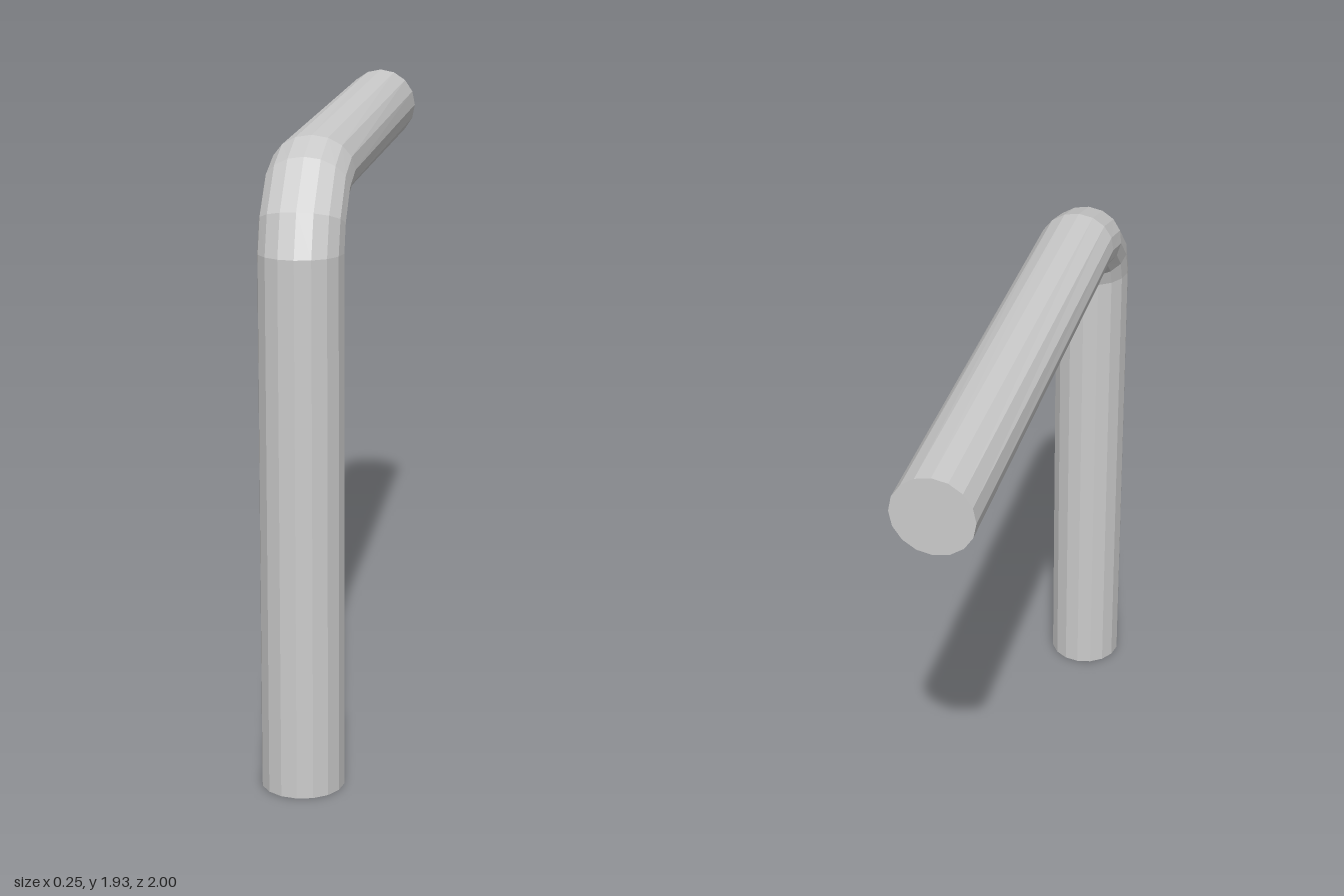
import * as THREE from 'three';

const SIDES = 16;
const HALF_WIDTH = 0.124;

// Rings along the pipe: outer z, outer y, inner z, inner y
const RINGS = [
  [1.0, 0, 0.752, 0], // foot
  [1.0, 1.605, 0.752, 1.605], // start of bend
  [0.953, 1.732, 0.738, 1.645],
  [0.81, 1.866, 0.702, 1.682],
  [0.665, 1.909, 0.61, 1.703], // end of bend
  [-1.0, 1.928, -1.0, 1.679], // open end of the arm
];

// Loft elliptical rings and close both ends with flat caps
function bentPipeGeometry() {
  const positions = [];
  const index = [];
  for (const [oz, oy, iz, iy] of RINGS) {
    for (let j = 0; j < SIDES; j++) {
      const a = (j / SIDES) * Math.PI * 2;
      const t = (1 + Math.sin(a)) / 2;
      positions.push(HALF_WIDTH * Math.cos(a), iy + (oy - iy) * t, iz + (oz - iz) * t);
    }
  }
  const last = RINGS.length - 1;
  for (let i = 0; i < last; i++) {
    for (let j = 0; j < SIDES; j++) {
      const k = (j + 1) % SIDES;
      const a = i * SIDES + j, b = i * SIDES + k;
      index.push(a, a + SIDES, b + SIDES, a, b + SIDES, b);
    }
  }
  const end = last * SIDES;
  for (let j = 1; j < SIDES - 1; j++) {
    index.push(0, j, j + 1); // foot cap
    index.push(end, end + j + 1, end + j); // arm cap
  }
  const geometry = new THREE.BufferGeometry();
  geometry.setAttribute('position', new THREE.Float32BufferAttribute(positions, 3));
  geometry.setIndex(index);
  const flat = geometry.toNonIndexed();
  flat.computeVertexNormals();
  return flat;
}

export function createModel() {
  const group = new THREE.Group();
  const material = new THREE.MeshStandardMaterial({ color: 0xcccccc, flatShading: true });
  const pipe = new THREE.Mesh(bentPipeGeometry(), material);
  pipe.name = 'bentPipe';
  group.add(pipe);
  return group;
}
